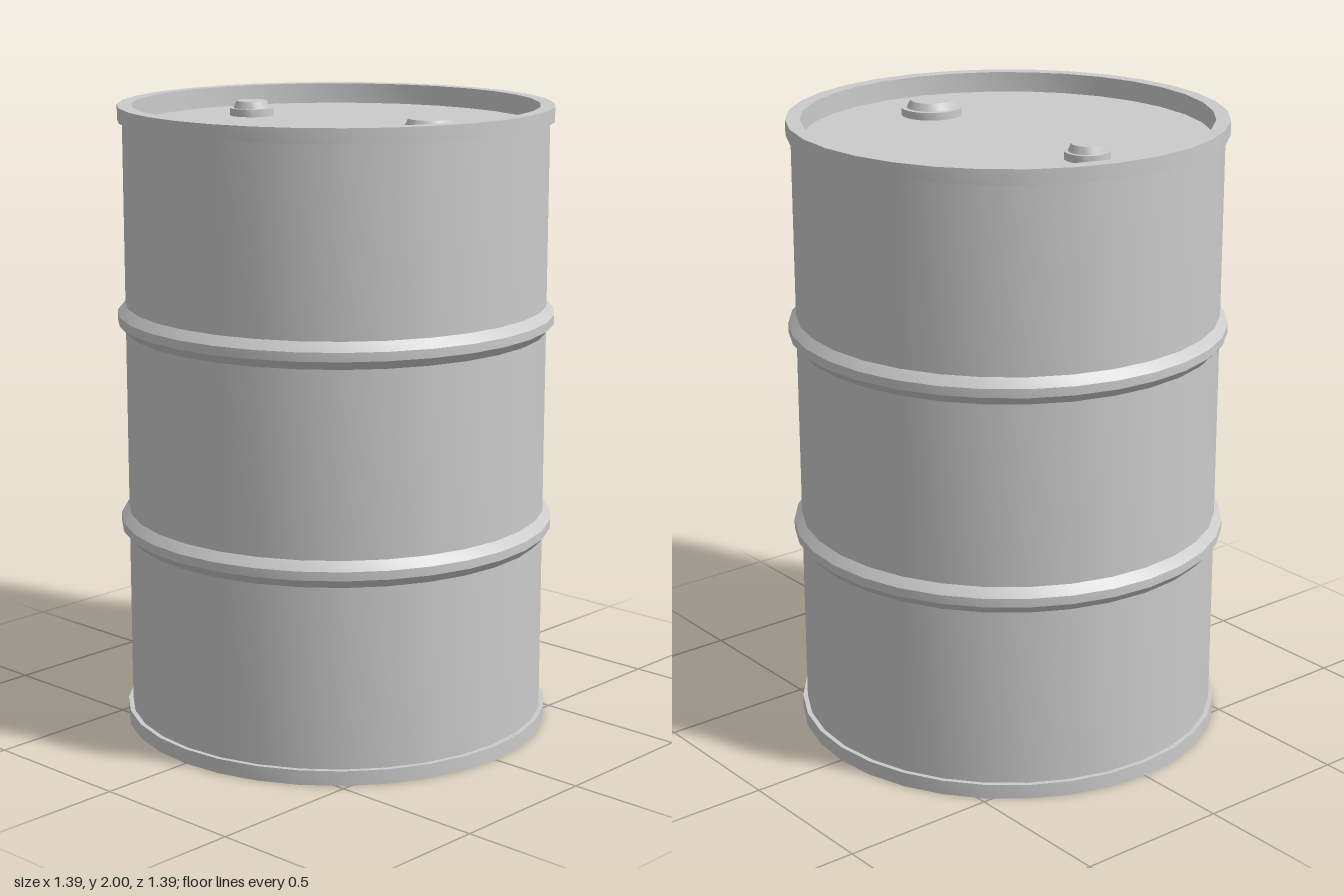
import * as THREE from 'three';
import { toCreasedNormals } from 'three/addons/utils/BufferGeometryUtils.js';

const material = new THREE.MeshStandardMaterial({ color: 0xcccccc });

// Solid of revolution from [radius, height] pairs, with crisp profile edges
function turned(name, profile, segments) {
  const points = profile.map(([r, y]) => new THREE.Vector2(r, y));
  const geometry = toCreasedNormals(new THREE.LatheGeometry(points, segments), Math.PI / 6);
  const mesh = new THREE.Mesh(geometry, material);
  mesh.name = name;
  return mesh;
}

export function createModel() {
  const model = new THREE.Group();
  model.name = 'drum';

  const wall = 0.67, rim = 0.685, inner = 0.64, hoop = 0.695;
  const rimHeight = 0.047, recess = 0.065, lidY = 2 - recess;

  // Rolling hoop: chamfered swelling of the wall
  const hoopProfile = (y) => [
    [wall, y - 0.042], [hoop, y - 0.014], [hoop, y + 0.014], [wall, y + 0.042],
  ];

  // Shell: recessed bottom, rims, wall with two hoops, recessed lid
  model.add(turned('shell', [
    [0, recess], [inner, recess], [inner, 0], [rim, 0], [rim, rimHeight], [wall, rimHeight],
    ...hoopProfile(2 / 3),
    ...hoopProfile(4 / 3),
    [wall, 2 - rimHeight], [rim, 2 - rimHeight], [rim, 2], [inner, 2], [inner, lidY], [0, lidY],
  ], 32));

  // Filler caps: a flat flange carrying a tapered plug
  const addCap = (name, x, flange, base, top) => {
    const cap = turned(name, [
      [flange, 0], [flange, 0.024], [base, 0.024], [top, 0.047], [0, 0.047],
    ], 24);
    cap.position.set(x, lidY, 0);
    model.add(cap);
  };
  addCap('largeCap', 0.39, 0.097, 0.079, 0.067);
  addCap('smallCap', -0.375, 0.07, 0.058, 0.049);

  return model;
}
